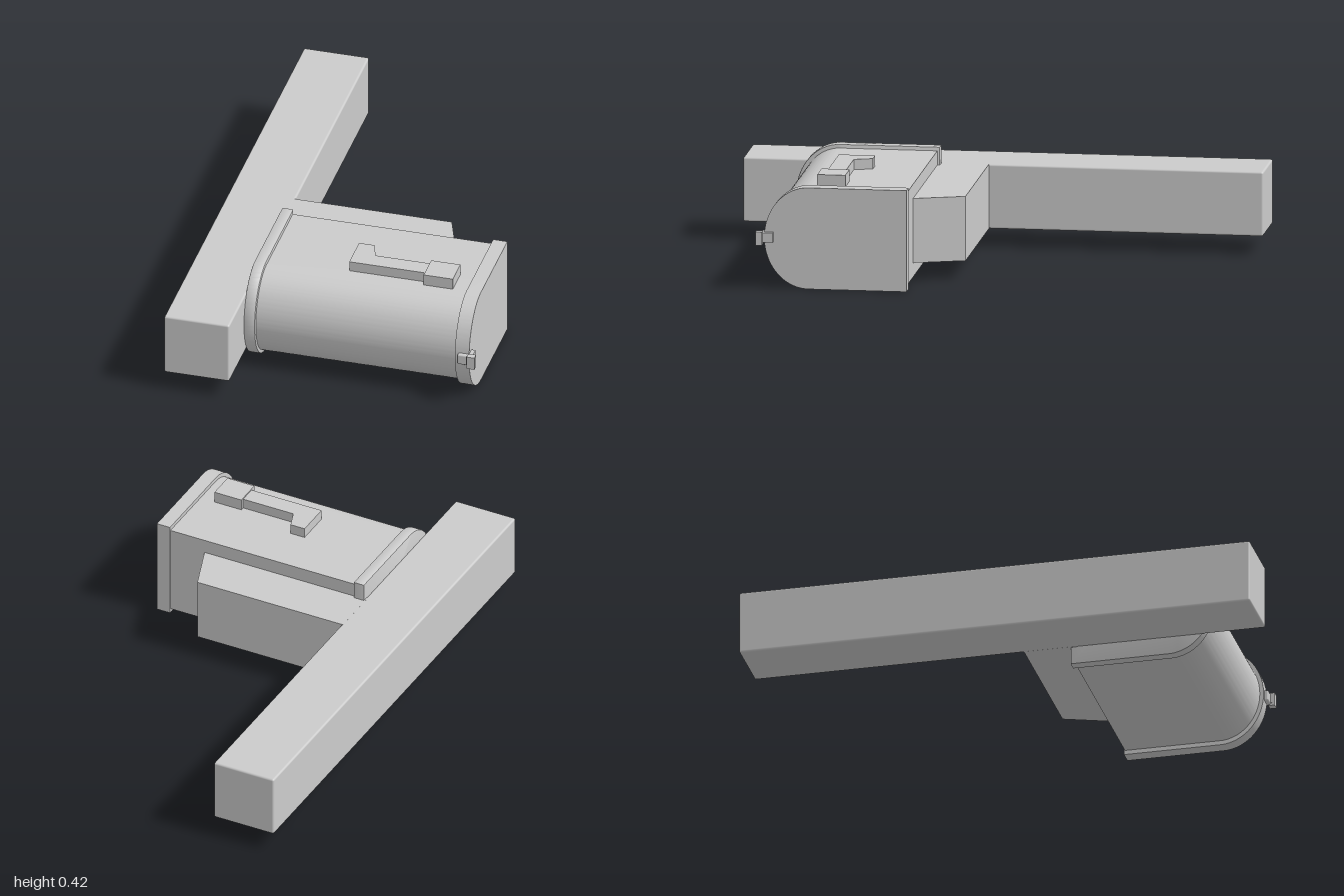
import * as THREE from 'three';
import { toCreasedNormals } from 'three/addons/utils/BufferGeometryUtils.js';
import { RoundedBoxGeometry } from 'three/addons/geometries/RoundedBoxGeometry.js';

const material = new THREE.MeshStandardMaterial({ color: 0xcccccc });

export function createModel() {
  const model = new THREE.Group();

  const add = (name, geometry) => {
    const mesh = new THREE.Mesh(geometry, material);
    mesh.name = name;
    model.add(mesh);
    return mesh;
  };

  // Box between two corners, with optional softened edges
  const block = (name, [x0, y0, z0], [x1, y1, z1], radius = 0) => {
    const size = [x1 - x0, y1 - y0, z1 - z0];
    const geometry = radius ? new RoundedBoxGeometry(...size, 2, radius) : new THREE.BoxGeometry(...size);
    geometry.translate((x0 + x1) / 2, (y0 + y1) / 2, (z0 + z1) / 2);
    return add(name, geometry);
  };

  // Plan outline of [x, z] points raised from y0 to y1
  const slab = (name, outline, y0, y1) => {
    const shape = new THREE.Shape(outline.map(([x, z]) => new THREE.Vector2(x, -z)));
    const geometry = new THREE.ExtrudeGeometry(shape, { depth: y1 - y0, bevelEnabled: false });
    geometry.rotateX(-Math.PI / 2).translate(0, y0, 0);
    return add(name, geometry);
  };

  // Arched cross-section (flat at the back, rounded at the front) running along x
  const arch = (name, x0, x1, y0, y1, zBack, zFront, bevel = 0) => {
    const mid = (y0 + y1) / 2, half = (y1 - y0) / 2 - bevel;
    const back = zBack + bevel, bend = 0.62, reach = zFront - bevel - bend;
    const shape = new THREE.Shape();
    shape.moveTo(-back, mid - half);
    shape.lineTo(-back, mid + half);
    shape.lineTo(-bend, mid + half);
    shape.absellipse(-bend, mid, reach, half, Math.PI / 2, Math.PI * 1.5, false, 0);
    shape.closePath();
    const geometry = new THREE.ExtrudeGeometry(shape, {
      depth: x1 - x0 - 2 * bevel, curveSegments: 40,
      bevelEnabled: bevel > 0, bevelSize: bevel, bevelThickness: bevel, bevelSegments: 2,
    });
    geometry.rotateY(Math.PI / 2).translate(x0 + bevel, 0, 0);
    return add(name, toCreasedNormals(geometry, 0.5));
  };

  // Post and the bracket that carries the box
  block('post', [-0.59, 0.075, -1], [-0.333, 0.325, 1], 0.008);
  slab('supportArm', [[-0.34, 0.055], [0.285, 0.055], [0.355, 0.25], [0.355, 0.26], [-0.34, 0.26]], 0.075, 0.325);

  // Box body with a raised rim at each end; the +x one is the closed door
  arch('body', -0.31, 0.52, 0.02, 0.38, 0.247, 0.775);
  arch('backRim', -0.335, -0.29, 0.006, 0.395, 0.237, 0.79, 0.004);
  arch('door', 0.5, 0.556, 0.003, 0.396, 0.243, 0.79);

  // Signal flag lying on the body
  slab('flagArm', [[0.025, 0.44], [0.085, 0.44], [0.11, 0.51], [0.33, 0.51], [0.33, 0.58], [0.025, 0.58]], 0.378, 0.42);
  block('flagPlate', [0.325, 0.378, 0.495], [0.44, 0.425, 0.603]);

  // Door latch
  block('latchBase', [0.55, 0.183, 0.755], [0.572, 0.22, 0.81]);
  block('latchHook', [0.513, 0.177, 0.785], [0.565, 0.22, 0.805], 0.006);
  block('latchTab', [0.555, 0.173, 0.795], [0.585, 0.225, 0.82]);

  return model;
}
